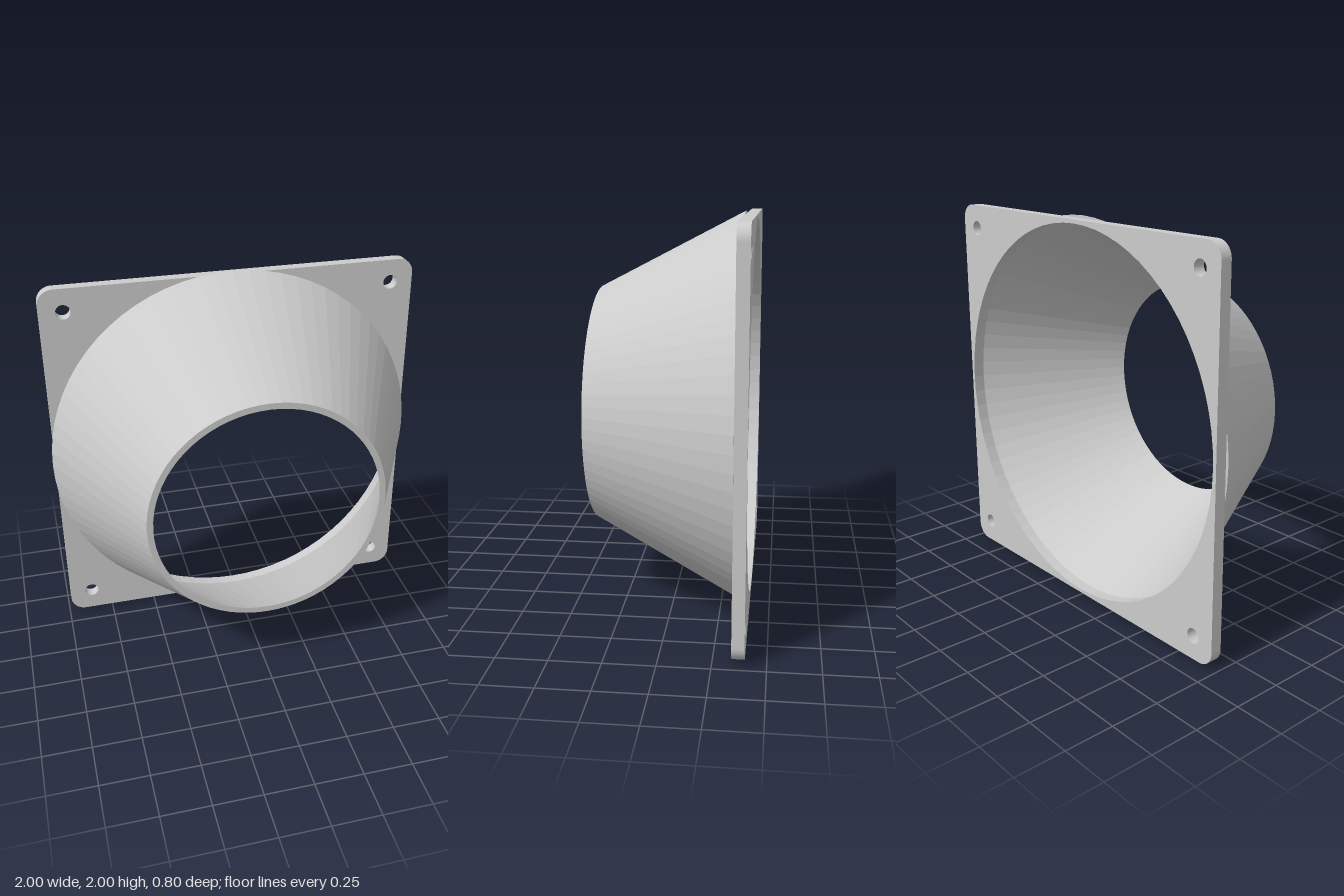
import * as THREE from 'three';

const SEGMENTS = 72;
const HALF = 0.985;      // half width of the square flange
const CORNER = 0.08;     // flange corner radius
const BACK = -0.4, FLANGE_FRONT = -0.34, FRONT = 0.4;
const BORE = 0.966;      // inner radius at the flange

function circleHole(x, y, r) {
  const path = new THREE.Path();
  path.absarc(x, y, r, 0, Math.PI * 2, true);
  return path;
}

// Square plate with rounded corners, a large bore and four screw holes
function flangeGeometry() {
  const shape = new THREE.Shape();
  const c = HALF - CORNER;
  [[c, c], [-c, c], [-c, -c], [c, -c]].forEach(([x, y], i) => {
    shape.absarc(x, y, CORNER, i * Math.PI / 2, (i + 1) * Math.PI / 2, false);
  });
  shape.closePath();
  shape.holes.push(circleHole(0, 0, BORE));
  for (const x of [-0.863, 0.863]) {
    for (const y of [-0.863, 0.863]) shape.holes.push(circleHole(x, y, 0.038));
  }
  const geometry = new THREE.ExtrudeGeometry(shape, {
    depth: FLANGE_FRONT - BACK, bevelEnabled: false, curveSegments: SEGMENTS / 2,
  });
  return geometry.translate(0, 0, BACK);
}

// Hollow tapered duct: closed wall section turned around the z axis
function ductGeometry() {
  const section = [
    [BORE, FLANGE_FRONT], [1, FLANGE_FRONT],
    [0.614, FRONT], [0.582, FRONT], [BORE, FLANGE_FRONT],
  ].map(([r, z]) => new THREE.Vector2(r, z));
  return new THREE.LatheGeometry(section, SEGMENTS).rotateX(Math.PI / 2);
}

export function createModel() {
  const material = new THREE.MeshStandardMaterial({ color: 0xcccccc, flatShading: true });
  const model = new THREE.Group();
  model.name = 'ductAdapter';
  const parts = { mountingFlange: flangeGeometry(), taperedDuct: ductGeometry() };
  for (const [name, geometry] of Object.entries(parts)) {
    const mesh = new THREE.Mesh(geometry, material);
    mesh.name = name;
    mesh.position.y = 1;
    model.add(mesh);
  }
  return model;
}
